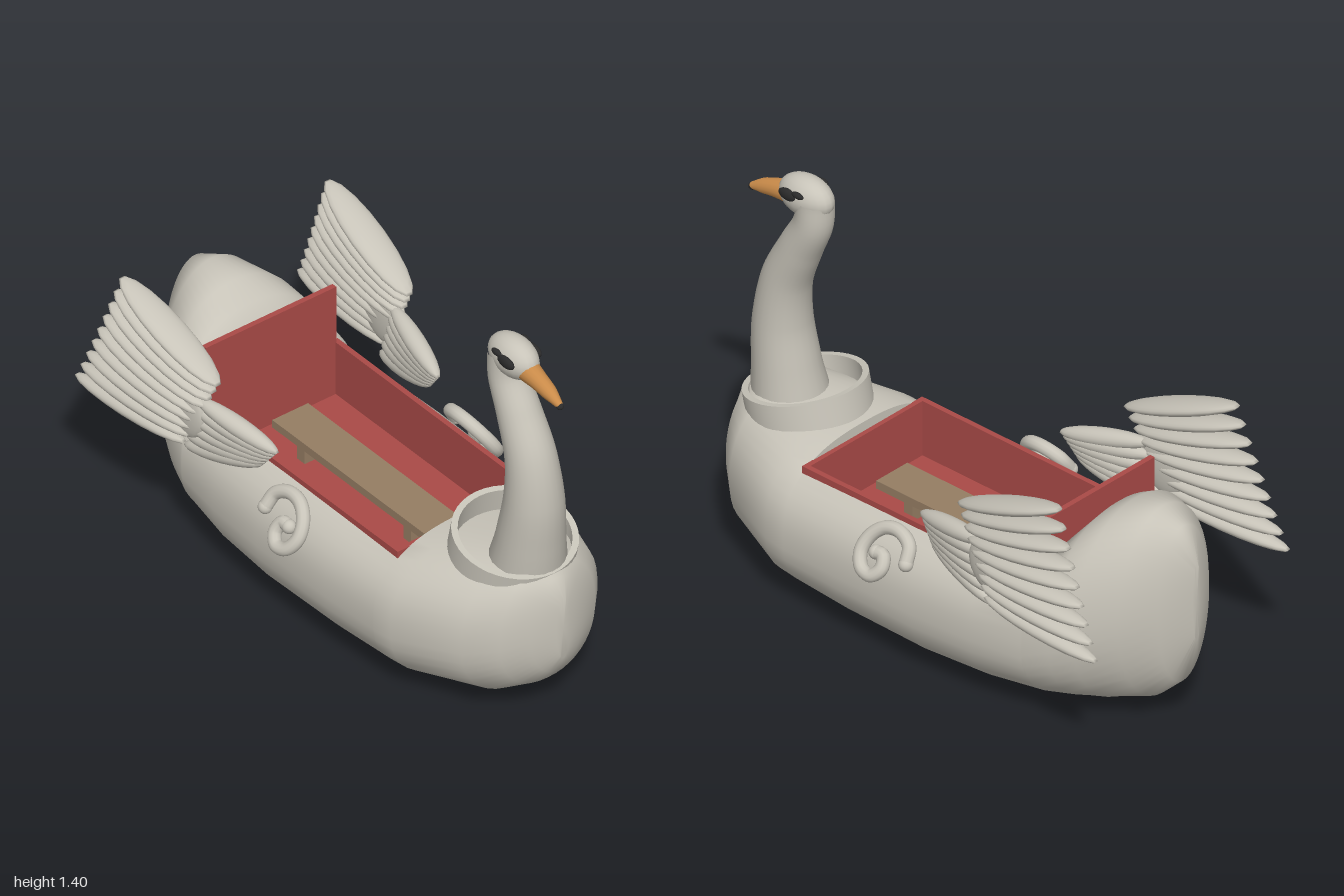
import * as THREE from 'three';
import { toCreasedNormals } from 'three/addons/utils/BufferGeometryUtils.js';

const material = (name, color) => {
  const m = new THREE.MeshStandardMaterial({ color });
  m.name = name;
  return m;
};

export function createModel() {
  const model = new THREE.Group();
  model.name = 'swanBoat';
  const grey = material('paleGrey', 0xc8c4b9);
  const red = material('red', 0xa94a47);
  const wood = material('wood', 0x957d63);
  const orange = material('orange', 0xcb8c4a);
  const black = material('black', 0x2b2b2b);

  const add = (name, geometry, mat, parent = model) => {
    const mesh = new THREE.Mesh(geometry, mat);
    mesh.name = name;
    parent.add(mesh);
    return mesh;
  };
  const box = (name, w, h, d, x, y, z, mat, parent) =>
    add(name, new THREE.BoxGeometry(w, h, d), mat, parent).position.set(x, y, z);
  const ellipsoid = (name, x, y, z, rx, ry, rz, mat, parent) => {
    const mesh = add(name, new THREE.SphereGeometry(1, 20, 14), mat, parent);
    mesh.position.set(x, y, z);
    mesh.scale.set(rx, ry, rz);
    return mesh;
  };
  // Tube whose radius follows a list; each row is [x, y, z, radius]
  const taperedTube = (rows, segments, sides) => {
    const curve = new THREE.CatmullRomCurve3(rows.map(([x, y, z]) => new THREE.Vector3(x, y, z)));
    const geometry = new THREE.TubeGeometry(curve, segments, 1, sides);
    const pos = geometry.attributes.position;
    const v = new THREE.Vector3();
    for (let i = 0; i <= segments; i++) {
      const u = i / segments;
      const centre = curve.getPointAt(u);
      const f = u * (rows.length - 1);
      const k = Math.min(Math.floor(f), rows.length - 2);
      const r = THREE.MathUtils.lerp(rows[k][3], rows[k + 1][3], f - k);
      for (let j = 0; j <= sides; j++) {
        const n = i * (sides + 1) + j;
        v.fromBufferAttribute(pos, n).sub(centre).multiplyScalar(r).add(centre);
        pos.setXYZ(n, v.x, v.y, v.z);
      }
    }
    return geometry;
  };

  // Hull sections: z, half width, bottom, widest height, top, roundness, open cockpit
  const sections = [
    [1, 0.03, 0.25, 0.37, 0.49, 2, 0],
    [0.965, 0.11, 0.18, 0.36, 0.555, 2.1, 0],
    [0.915, 0.2, 0.12, 0.34, 0.59, 2.2, 0],
    [0.82, 0.285, 0.06, 0.32, 0.59, 2.3, 0],
    [0.57, 0.382, 0.02, 0.29, 0.565, 2.5, 0],
    [0.49, 0.39, 0.015, 0.285, 0.555, 2.5, 0],
    [0.485, 0.39, 0.015, 0.285, 0.555, 2.5, 1],
    [0.25, 0.402, 0.004, 0.28, 0.555, 2.5, 1],
    [-0.1, 0.408, 0, 0.28, 0.555, 2.5, 1],
    [-0.35, 0.395, 0.012, 0.29, 0.555, 2.5, 1],
    [-0.55, 0.367, 0.027, 0.31, 0.585, 2.4, 1],
    [-0.56, 0.365, 0.028, 0.31, 0.63, 2.4, 0],
    [-0.65, 0.34, 0.036, 0.34, 0.74, 2.2, 0],
    [-0.73, 0.305, 0.048, 0.38, 0.79, 2.1, 0],
    [-0.85, 0.22, 0.085, 0.44, 0.81, 2, 0],
    [-0.94, 0.125, 0.17, 0.48, 0.77, 2, 0],
    [-1, 0.02, 0.35, 0.5, 0.65, 2, 0],
  ];
  const CAP = 8, SIDE = 16;
  const rings = sections.map(([z, w, bottom, mid, top, n, open]) => {
    const at = (a) => {
      const s = Math.sin(a), c = Math.max(Math.cos(a), 0);
      const h = s > 0 ? top - mid : mid - bottom;
      return [w * c ** (2 / n), mid + h * Math.sign(s) * Math.abs(s) ** (2 / n)];
    };
    const a0 = open ? Math.acos((0.29 / w) ** (n / 2)) : 0.8;
    const half = [];
    for (let k = 0; k < CAP; k++) {
      half.push(open
        ? [Math.min(0.283, 0.283 * k / 6), k < 7 ? 0.28 : at(a0)[1]]
        : at(Math.PI / 2 + (a0 - Math.PI / 2) * k / CAP));
    }
    for (let k = 0; k <= SIDE; k++) half.push(at(a0 + (-Math.PI / 2 - a0) * k / SIDE));
    const mirrored = half.slice(1, -1).reverse().map(([x, y]) => [-x, y]);
    return [...half, ...mirrored].map(([x, y]) => [x, y, z]);
  });
  const size = rings[0].length;
  const positions = rings.flat(2);
  const index = [];
  for (let i = 0; i < rings.length - 1; i++) {
    for (let j = 0; j < size; j++) {
      const a = i * size + j, b = i * size + (j + 1) % size;
      index.push(a, b, a + size, b, b + size, a + size);
    }
  }
  // Close the bow and stern
  const first = rings.length * size, last = (rings.length - 1) * size;
  positions.push(0, 0.37, 1, 0, 0.5, -1);
  for (let j = 0; j < size; j++) {
    const k = (j + 1) % size;
    index.push(first, k, j, first + 1, last + j, last + k);
  }
  const hull = new THREE.BufferGeometry();
  hull.setAttribute('position', new THREE.Float32BufferAttribute(positions, 3));
  hull.setIndex(index);
  add('hull', toCreasedNormals(hull, 0.95), grey);

  // Cockpit tub with a tall backrest, and the bench
  const cockpit = new THREE.Group();
  cockpit.name = 'cockpit';
  model.add(cockpit);
  box('floor', 0.57, 0.02, 1.04, 0, 0.3, -0.035, red, cockpit);
  for (const s of [1, -1]) box('sideWall', 0.02, 0.23, 1.04, s * 0.28, 0.405, -0.035, red, cockpit);
  box('frontWall', 0.58, 0.23, 0.02, 0, 0.405, 0.482, red, cockpit);
  box('backWall', 0.545, 0.455, 0.02, 0, 0.5175, -0.55, red, cockpit);
  box('benchSeat', 0.15, 0.03, 0.8, 0, 0.405, -0.04, wood, cockpit);
  for (const z of [-0.32, 0.24]) box('benchLeg', 0.1, 0.09, 0.04, 0, 0.35, z, wood, cockpit);

  // Tilted collar round the foot of the neck
  const profile = [[0.19, -0.16], [0.212, -0.16], [0.212, 0], [0.19, 0], [0.19, -0.16]];
  const ring = new THREE.LatheGeometry(profile.map(([x, y]) => new THREE.Vector2(x, y)), 40);
  const collar = add('collar', toCreasedNormals(ring, 0.6), grey);
  collar.position.set(0, 0.613, 0.745);
  collar.rotation.x = 0.22;

  // Neck, head and beak
  add('neck', taperedTube([
    [0, 0.5, 0.805, 0.14], [0, 0.66, 0.83, 0.118], [0, 0.82, 0.845, 0.105], [0, 0.98, 0.825, 0.091],
    [0, 1.12, 0.765, 0.08], [0, 1.24, 0.708, 0.07], [0, 1.33, 0.7, 0.064],
  ], 40, 24), grey);
  ellipsoid('head', 0, 1.33, 0.738, 0.066, 0.074, 0.11, grey);
  add('beak', taperedTube([
    [0, 1.315, 0.81, 0.042], [0, 1.302, 0.87, 0.033], [0, 1.285, 0.93, 0.027], [0, 1.264, 0.982, 0.012],
  ], 16, 16), orange);
  ellipsoid('beakTip', 0, 1.262, 0.98, 0.013, 0.013, 0.015, black);

  // Feather: flattened ellipsoid between two points
  const feather = (name, from, to, width, thick, parent) => {
    const a = new THREE.Vector3(...from), b = new THREE.Vector3(...to);
    const mesh = new THREE.Mesh(new THREE.SphereGeometry(1, 18, 12), grey);
    mesh.name = name;
    mesh.position.copy(a).lerp(b, 0.5);
    mesh.scale.set(width, thick, a.distanceTo(b) / 2);
    mesh.lookAt(b);
    parent.add(mesh);
  };

  for (const s of [1, -1]) {
    const side = s > 0 ? 'left' : 'right';
    ellipsoid(side + 'Eye', s * 0.057, 1.345, 0.768, 0.014, 0.022, 0.042, black);
    ellipsoid(side + 'EyeCorner', s * 0.06, 1.361, 0.724, 0.01, 0.012, 0.025, black);

    const wing = new THREE.Group();
    wing.name = side + 'Wing';
    model.add(wing);
    // Long flight feathers fanning from level to raised
    for (let i = 0; i < 9; i++) {
      const t = i / 8;
      feather('flightFeather',
        [s * (0.43 - 0.03 * t), 0.485 + 0.295 * t, -0.45 + 0.14 * t],
        [s * (0.465 - 0.035 * t), 0.475 + 0.49 * t ** 1.05, -0.985 + 0.195 * t],
        0.042 + 0.022 * t, 0.027, wing);
    }
    // Inner membrane behind the feather roots
    ellipsoid('wingRoot', s * 0.415, 0.61, -0.47, 0.025, 0.11, 0.1, grey, wing);
    // Short shoulder feathers reaching back from the hull
    for (let i = 0; i < 6; i++) {
      const t = i / 5;
      feather('shoulderFeather',
        [s * (0.35 - 0.015 * t), 0.54 + 0.07 * t, -0.14 + 0.06 * t],
        [s * 0.41, 0.455 + 0.22 * t, -0.48 + 0.06 * t], 0.035, 0.032, wing);
    }

    // Scroll ornament lying on the sloping flank
    const scroll = new THREE.Group();
    scroll.name = side + 'Scroll';
    model.add(scroll);
    const spiral = [
      [-0.07, 0.43], [-0.055, 0.48], [0, 0.505], [0.06, 0.498], [0.105, 0.46], [0.118, 0.41],
      [0.09, 0.368], [0.045, 0.36], [0.015, 0.39], [0.028, 0.425], [0.06, 0.425],
    ].map(([z, y]) => new THREE.Vector3(s * (0.45 - (y - 0.35) * 0.65), y, z));
    add('scrollTube', new THREE.TubeGeometry(new THREE.CatmullRomCurve3(spiral), 60, 0.024, 12), grey, scroll);
    for (const p of [spiral[0], spiral[spiral.length - 1]])
      ellipsoid('scrollEnd', p.x, p.y, p.z, 0.025, 0.025, 0.025, grey, scroll);
  }
  return model;
}
